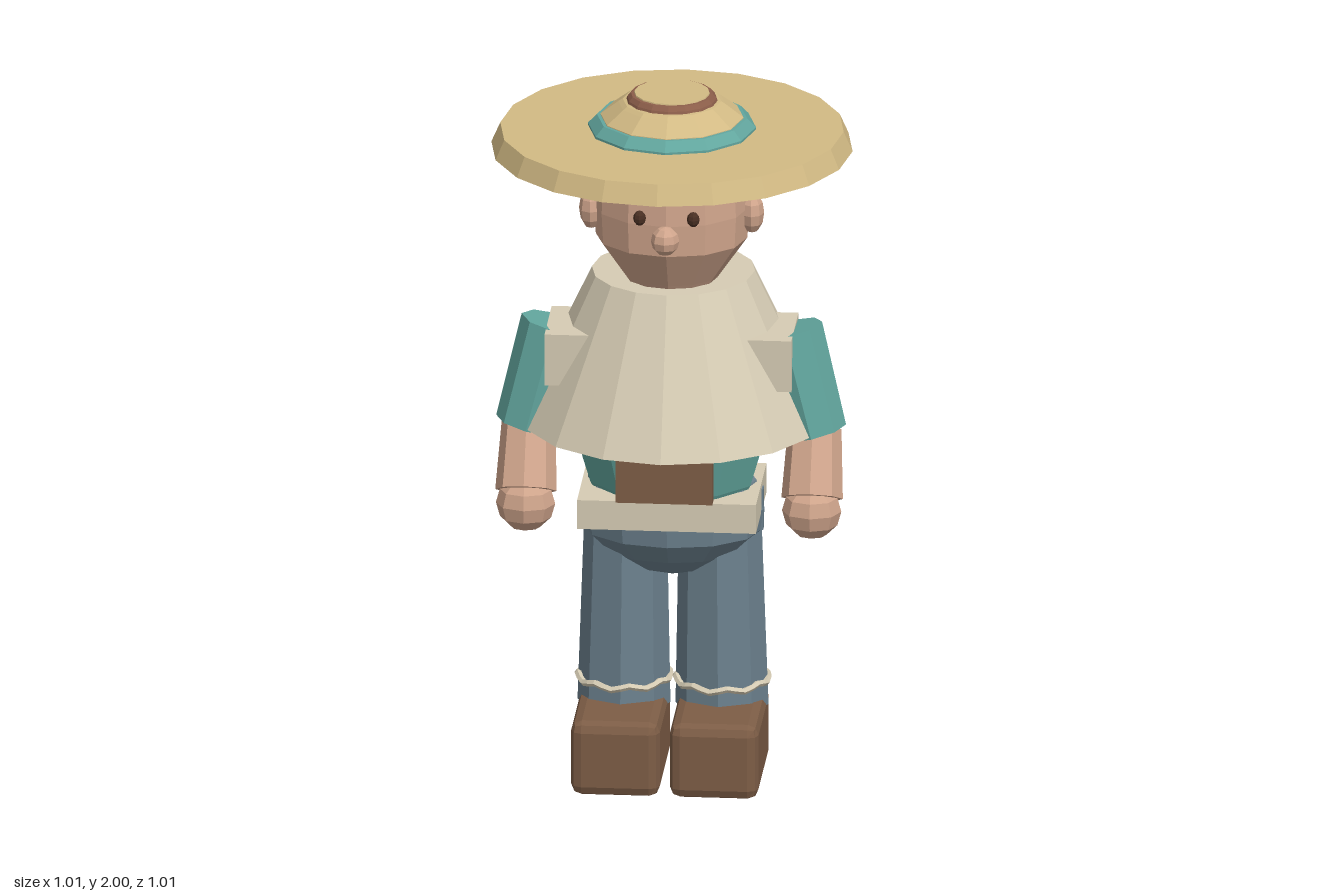
import * as THREE from 'three';
import { RoundedBoxGeometry } from 'three/addons/geometries/RoundedBoxGeometry.js';

const paint = (name, color) => {
  const m = new THREE.MeshStandardMaterial({ color, flatShading: true });
  m.name = name;
  return m;
};

export function createModel() {
  const model = new THREE.Group();
  model.name = 'travellerFigure';
  const straw = paint('straw', 0xd2ba84);
  const cream = paint('creamCloth', 0xd6ccb4);
  const teal = paint('tealCloth', 0x62a69e);
  const denim = paint('denim', 0x6c818e);
  const skin = paint('skin', 0xd0a58c);
  const leather = paint('leather', 0x7d5d46);
  const hair = paint('hair', 0x8c5e4a);
  const dark = paint('eyeBrown', 0x4a3024);
  const brass = paint('brass', 0x9a8a48);

  const add = (name, geo, mat, x = 0, y = 0, z = 0) => {
    const m = new THREE.Mesh(geo, mat);
    m.name = name;
    m.position.set(x, y, z);
    model.add(m);
    return m;
  };
  const box = (name, mat, w, h, d, x, y, z) => add(name, new THREE.BoxGeometry(w, h, d), mat, x, y, z);
  const ball = (name, mat, r, x, y, z, seg = 8, rings = 6) =>
    add(name, new THREE.SphereGeometry(1, seg, rings).scale(...r), mat, x, y, z);
  const lathe = (name, mat, pts, seg, sz = 1, z = 0) =>
    add(name, new THREE.LatheGeometry(pts.map(p => new THREE.Vector2(...p)), seg).scale(1, 1, sz), mat, 0, 0, z);
  // Tapered limb between two points
  const limb = (name, mat, from, to, r0, r1, seg = 8) => {
    const a = new THREE.Vector3(...from), b = new THREE.Vector3(...to);
    const dir = a.clone().sub(b);
    const m = add(name, new THREE.CylinderGeometry(r0, r1, dir.length(), seg), mat);
    m.position.copy(a).add(b).multiplyScalar(0.5);
    m.quaternion.setFromUnitVectors(new THREE.Vector3(0, 1, 0), dir.normalize());
    return m;
  };

  // Hat
  add('hatBrim', new THREE.CylinderGeometry(0.48, 0.505, 0.057, 20), straw, 0, 1.867, 0);
  lathe('hatBand', teal, [[0.235, 1.89], [0.235, 1.902], [0.21, 1.928], [0.195, 1.928]], 12);
  lathe('hatCrown', straw, [[0.205, 1.89], [0.2, 1.93], [0.15, 1.968], [0.138, 1.976], [0.12, 1.978]], 12);
  lathe('crownRing', hair, [[0.13, 1.97], [0.125, 1.984], [0.115, 1.996], [0.1, 1.997]], 16);
  lathe('crownTop', straw, [[0.108, 1.99], [0.105, 2], [0, 2]], 16);
  add('hatInnerBand', new THREE.TorusGeometry(0.21, 0.022, 6, 14).rotateX(Math.PI / 2), hair, 0, 1.833, 0);

  // Head
  lathe('head', skin, [[0, 1.42], [0.115, 1.44], [0.135, 1.47], [0.212, 1.58], [0.217, 1.67],
    [0.212, 1.75], [0.175, 1.82], [0, 1.88]], 12, 0.87, 0.012);
  lathe('hairCap', hair, [[0.16, 1.79], [0.19, 1.8], [0.2, 1.83], [0.15, 1.87]], 12, 0.95, -0.005);
  ball('backHair', hair, [0.17, 0.065, 0.145], 0, 1.825, -0.065, 10, 6);
  ball('nose', skin, [0.04, 0.042, 0.04], 0, 1.64, 0.23);
  for (const s of [1, -1]) {
    ball('ear', skin, [0.034, 0.06, 0.044], s * 0.225, 1.655, 0.012);
    ball('eye', dark, [0.018, 0.022, 0.016], s * 0.075, 1.69, 0.186);
  }

  // Cape and body
  add('cape', new THREE.CylinderGeometry(0.228, 0.43, 0.43, 16), cream, 0, 1.245, -0.05);
  lathe('shirt', teal, [[0.2, 0.8], [0.235, 0.86], [0.268, 0.97], [0.265, 1.02], [0.22, 1.15]], 10, 0.77);
  ball('shirtButton', brass, [0.017, 0.02, 0.012], 0, 0.96, 0.208);
  box('chestPouch', leather, 0.27, 0.2, 0.041, 0, 0.975, 0.246);
  box('backPack', leather, 0.3, 0.36, 0.09, 0, 0.955, -0.245);
  box('belt', cream, 0.5, 0.085, 0.35, 0, 0.807, 0.008);
  lathe('hips', denim, [[0, 0.57], [0.12, 0.605], [0.19, 0.65], [0.25, 0.71], [0.258, 0.77],
    [0.235, 0.855], [0, 0.856]], 12, 0.74, -0.015);

  for (const s of [1, -1]) {
    // Arms
    box('shoulderFlap', cream, 0.19, 0.15, 0.24, s * 0.25, 1.245, 0.017);
    limb('sleeve', teal, [s * 0.325, 1.31, 0.005], [s * 0.4, 1.018, 0.03], 0.098, 0.092);
    limb('forearm', skin, [s * 0.4, 1.02, 0.012], [s * 0.4, 0.845, 0.098], 0.075, 0.086);
    ball('hand', skin, [0.083, 0.08, 0.072], s * 0.4, 0.812, 0.112);

    // Legs
    box('beltLoop', denim, 0.015, 0.12, 0.03, s * 0.247, 0.77, -0.02);
    limb('trouserLeg', denim, [s * 0.132, 0.76, -0.03], [s * 0.137, 0.185, -0.033], 0.115, 0.13);
    const hem = [];
    for (let i = 0; i < 24; i++) {
      const a = i / 24 * Math.PI * 2;
      hem.push(new THREE.Vector3(Math.sin(a) * 0.128, Math.sin(a * 8) * 0.007, Math.cos(a) * 0.128));
    }
    add('trouserTrim', new THREE.TubeGeometry(new THREE.CatmullRomCurve3(hem, true), 32, 0.01, 5, true),
      cream, s * 0.137, 0.265, -0.033);
    add('boot', new RoundedBoxGeometry(0.248, 0.218, 0.395, 1, 0.03), leather, s * 0.138, 0.109, 0.068);
  }
  return model;
}
